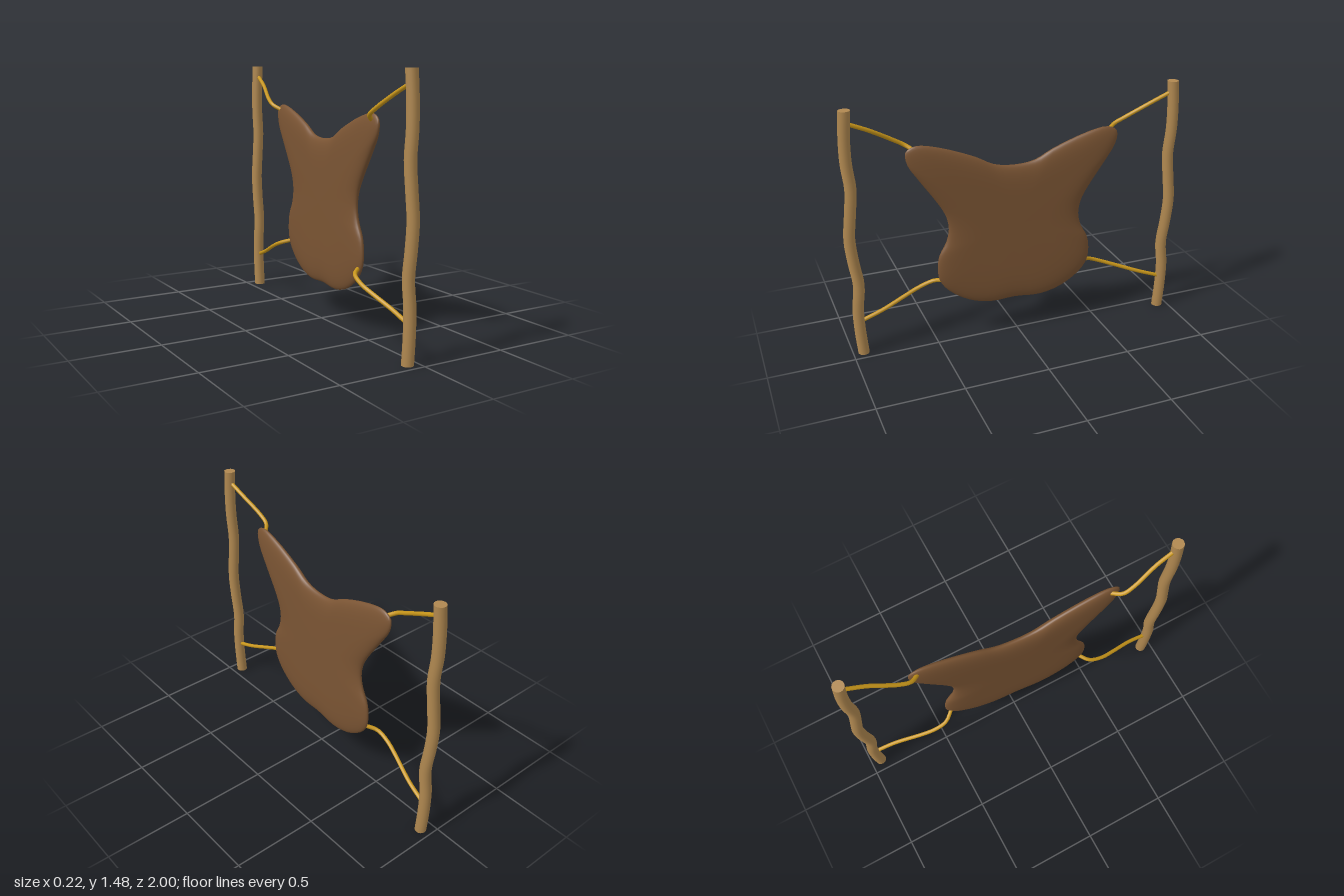
import * as THREE from 'three';

const wood = new THREE.MeshStandardMaterial({ color: 0xb08850 });
const leather = new THREE.MeshStandardMaterial({ color: 0x7a5433 });
const cord = new THREE.MeshStandardMaterial({ color: 0xc8961a });

const POLE_HEIGHT = 1.475, POLE_RADIUS = 0.033;

function mesh(name, geometry, material) {
  const m = new THREE.Mesh(geometry, material);
  m.name = name;
  return m;
}

// Upright stick that wavers in z; side is +1 or -1
function makePole(name, x, side) {
  const wave = new THREE.CatmullRomCurve3(
    [0.938, 0.949, 0.951, 0.936, 0.955, 0.967, 0.952, 0.938, 0.951, 0.95, 0.938].map(
      (z, i, all) => new THREE.Vector3(0, (i / (all.length - 1)) * POLE_HEIGHT, z)));
  const geo = new THREE.CylinderGeometry(POLE_RADIUS, POLE_RADIUS, POLE_HEIGHT, 16, 40);
  geo.translate(0, POLE_HEIGHT / 2, 0);
  const pos = geo.attributes.position;
  for (let i = 0; i < pos.count; i++) {
    const t = THREE.MathUtils.clamp(pos.getY(i) / POLE_HEIGHT, 0, 1);
    pos.setX(i, pos.getX(i) + x);
    pos.setZ(i, pos.getZ(i) + side * wave.getPoint(t).z);
  }
  return mesh(name, geo, wood);
}

// Stretched skin: one outline, shrunk towards its middle in domed rings
function makeHide() {
  const half = [
    [0, 1.07], [0.12, 1.086], [0.23, 1.143], [0.445, 1.222], [0.564, 1.24], [0.616, 1.21],
    [0.61, 1.137], [0.555, 1.045], [0.445, 0.88], [0.405, 0.8], [0.392, 0.72], [0.41, 0.64],
    [0.452, 0.56], [0.465, 0.48], [0.455, 0.4], [0.405, 0.327], [0.287, 0.247], [0.153, 0.212],
    [0, 0.22],
  ];
  const mirrored = half.slice(1, -1).reverse().map(([z, y]) => [-z, y]);
  const outline = new THREE.CatmullRomCurve3(
    [...half, ...mirrored].map(([z, y]) => new THREE.Vector3(0, y, z)), true);
  const n = 108, rings = 24, midY = 0.7, midZ = 0.015, thickness = 0.036;
  const edge = outline.getPoints(n).slice(0, n);
  const positions = [], index = [];
  for (let i = 0; i <= rings; i++) {
    const a = Math.PI / 2 - (i / rings) * Math.PI;
    const s = Math.cbrt(Math.max(0, Math.cos(a)));
    for (const p of edge) {
      const z = midZ + p.z * s;
      // The skin lies in the slanted plane between the two poles
      positions.push(0.007 - 0.07 * z + thickness * Math.sin(a), midY + (p.y - midY) * s, z);
    }
  }
  for (let i = 0; i < rings; i++) {
    for (let j = 0; j < n; j++) {
      const k = (j + 1) % n;
      const a = i * n + j, b = i * n + k, c = a + n, d = b + n;
      index.push(a, c, d, a, d, b);
    }
  }
  const geo = new THREE.BufferGeometry();
  geo.setAttribute('position', new THREE.Float32BufferAttribute(positions, 3));
  geo.setIndex(index);
  geo.computeVertexNormals();
  return mesh('hide', geo, leather);
}

// Slack cord from a pole to a corner of the hide
function makeCord(name, points) {
  const curve = new THREE.CatmullRomCurve3(points.map((p) => new THREE.Vector3(...p)));
  return mesh(name, new THREE.TubeGeometry(curve, 20, 0.012, 8), cord);
}

export function createModel() {
  const group = new THREE.Group();
  group.name = 'hideStretchingFrame';
  group.add(makePole('frontPole', -0.062, 1), makePole('backPole', 0.071, -1), makeHide());

  const cords = {
    frontUpperCord: [[-0.062, 1.4, 0.93], [-0.07, 1.35, 0.82], [-0.092, 1.27, 0.68],
      [-0.088, 1.235, 0.62], [-0.04, 1.205, 0.57]],
    frontLowerCord: [[-0.062, 0.215, 0.93], [-0.066, 0.255, 0.81], [-0.09, 0.31, 0.66],
      [-0.1, 0.34, 0.58], [-0.085, 0.375, 0.49], [-0.03, 0.395, 0.44]],
    backUpperCord: [[0.071, 1.41, -0.93], [0.05, 1.35, -0.81], [0.012, 1.27, -0.67],
      [0.006, 1.235, -0.6], [0.04, 1.205, -0.55]],
    backLowerCord: [[0.071, 0.21, -0.93], [0.05, 0.25, -0.81], [0, 0.31, -0.64],
      [-0.018, 0.34, -0.56], [-0.016, 0.372, -0.48], [0.03, 0.395, -0.42]],
  };
  for (const [name, points] of Object.entries(cords)) group.add(makeCord(name, points));
  return group;
}
